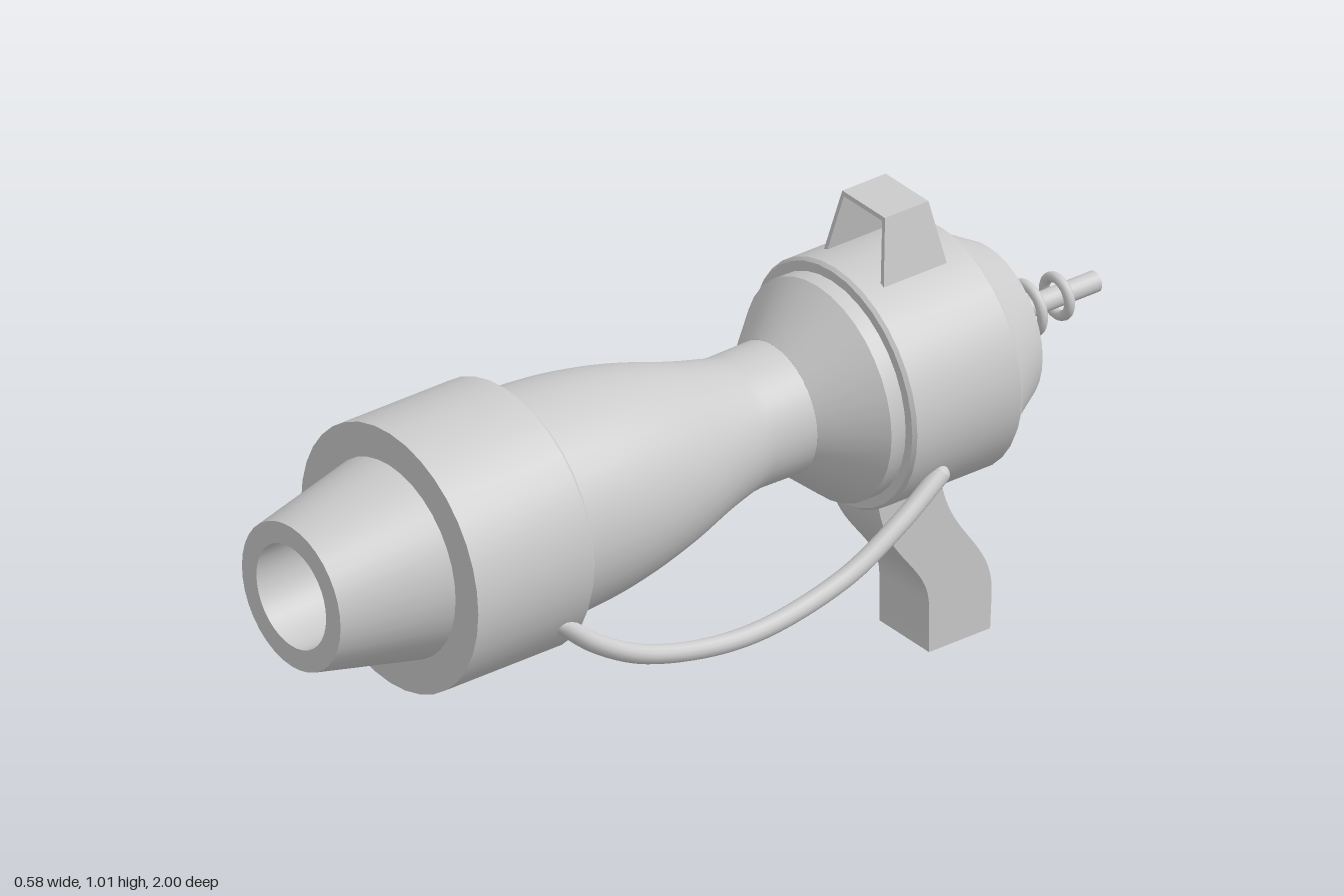
import * as THREE from 'three';
import { toCreasedNormals } from 'three/addons/utils/BufferGeometryUtils.js';

const AXIS_X = -0.01, AXIS_Y = 0.635;

export function createModel() {
  const group = new THREE.Group();
  const material = new THREE.MeshStandardMaterial({ color: 0xcccccc });

  function add(name, geometry, x = AXIS_X, y = AXIS_Y, z = 0) {
    const mesh = new THREE.Mesh(geometry, material);
    mesh.name = name;
    mesh.position.set(x, y, z);
    group.add(mesh);
    return mesh;
  }

  // Turned part along z; profile is [z, radius] from back to front
  function turned(name, profile, sides = 36) {
    const points = profile.map(([z, r]) => new THREE.Vector2(r, z));
    const geometry = new THREE.LatheGeometry(points, sides).rotateX(Math.PI / 2);
    return add(name, toCreasedNormals(geometry, 0.4));
  }

  // Rear body with chamfered band
  turned('rearCap', [[-0.735, 0], [-0.735, 0.172], [-0.62, 0.24], [-0.6, 0.24]]);
  turned('rearBody', [[-0.62, 0.235], [-0.62, 0.256], [-0.612, 0.262], [-0.353, 0.262], [-0.345, 0.256], [-0.345, 0.2]]);
  turned('bodyCone', [[-0.36, 0.235], [-0.31, 0.235], [-0.2, 0.14], [-0.2, 0.1]]);

  // Flared barrel with a smooth curve
  const flare = new THREE.SplineCurve([
    [-0.08, 0.14], [0, 0.16], [0.1, 0.191], [0.2, 0.215], [0.32, 0.233], [0.48, 0.243],
  ].map(([z, r]) => new THREE.Vector2(z, r))).getPoints(20).map((p) => [p.x, p.y]);
  turned('barrel', [[-0.22, 0.14], [-0.1, 0.138], ...flare]);

  // Collar and hollow muzzle
  turned('collar', [[0.457, 0.23], [0.457, 0.27], [0.468, 0.282], [0.755, 0.282], [0.755, 0.18]]);
  turned('muzzle', [[0.74, 0.213], [1, 0.157], [1, 0.111], [0.76, 0.111], [0.76, 0]]);

  // Rear rod with two rings
  add('rearRod', new THREE.CylinderGeometry(0.022, 0.022, 0.275, 20).rotateX(Math.PI / 2), AXIS_X, AXIS_Y, -0.8625);
  [[-0.83, 0.05], [-0.905, 0.04]].forEach(([z, radius]) => {
    add('rodRing', new THREE.TorusGeometry(radius, 0.011, 12, 32), AXIS_X, AXIS_Y, z);
  });

  // Curved grip, drawn in side view and extruded across x
  const grip = new THREE.Shape();
  grip.moveTo(0.4, 0.42);
  grip.lineTo(0.4, 0.37);
  grip.bezierCurveTo(0.42, 0.24, 0.525, 0.2, 0.525, 0.105);
  grip.lineTo(0.525, 0);
  grip.lineTo(0.677, 0);
  grip.lineTo(0.681, 0.08);
  grip.bezierCurveTo(0.685, 0.2, 0.575, 0.24, 0.555, 0.38);
  grip.lineTo(0.555, 0.42);
  const gripGeometry = new THREE.ExtrudeGeometry(grip, { depth: 0.158, bevelEnabled: false, curveSegments: 16 })
    .translate(0, 0, -0.079).rotateY(Math.PI / 2);
  add('grip', toCreasedNormals(gripGeometry, 0.5), AXIS_X, 0, 0);

  // Sight: trapezoid frame whose front and back lean inward
  const frame = new THREE.Shape();
  [[-0.096, 0.875], [-0.068, 1.015], [0.068, 1.015], [0.096, 0.875], [0.086, 0.875],
    [0.061, 1.006], [-0.061, 1.006], [-0.086, 0.875]].forEach(([x, y], i) => (i ? frame.lineTo(x, y) : frame.moveTo(x, y)));
  const sight = new THREE.ExtrudeGeometry(frame, { depth: 2, bevelEnabled: false }).translate(0, 0, -1);
  const pos = sight.attributes.position;
  for (let i = 0; i < pos.count; i++) {
    const halfDepth = THREE.MathUtils.mapLinear(pos.getY(i), 0.875, 1.015, 0.079, 0.054);
    pos.setZ(i, pos.getZ(i) * halfDepth);
  }
  sight.computeVertexNormals();
  add('sightFrame', sight, AXIS_X, 0, -0.478);
  add('sightBead', new THREE.SphereGeometry(0.006, 10, 8), AXIS_X, 0.945, -0.478);

  // Hose slung along the left side, with rounded ends
  const path = new THREE.CatmullRomCurve3([
    [0.23, 0.508, 0.515], [0.245, 0.445, 0.44], [0.26, 0.385, 0.32], [0.27, 0.347, 0.09],
    [0.26, 0.382, -0.16], [0.245, 0.445, -0.31], [0.225, 0.508, -0.43],
  ].map((p) => new THREE.Vector3(...p)));
  add('hose', new THREE.TubeGeometry(path, 40, 0.02, 14), 0, 0, 0);
  [0, 1].forEach((t) => {
    const end = path.getPoint(t);
    add('hoseEnd', new THREE.SphereGeometry(0.02, 14, 10), end.x, end.y, end.z);
  });

  return group;
}
